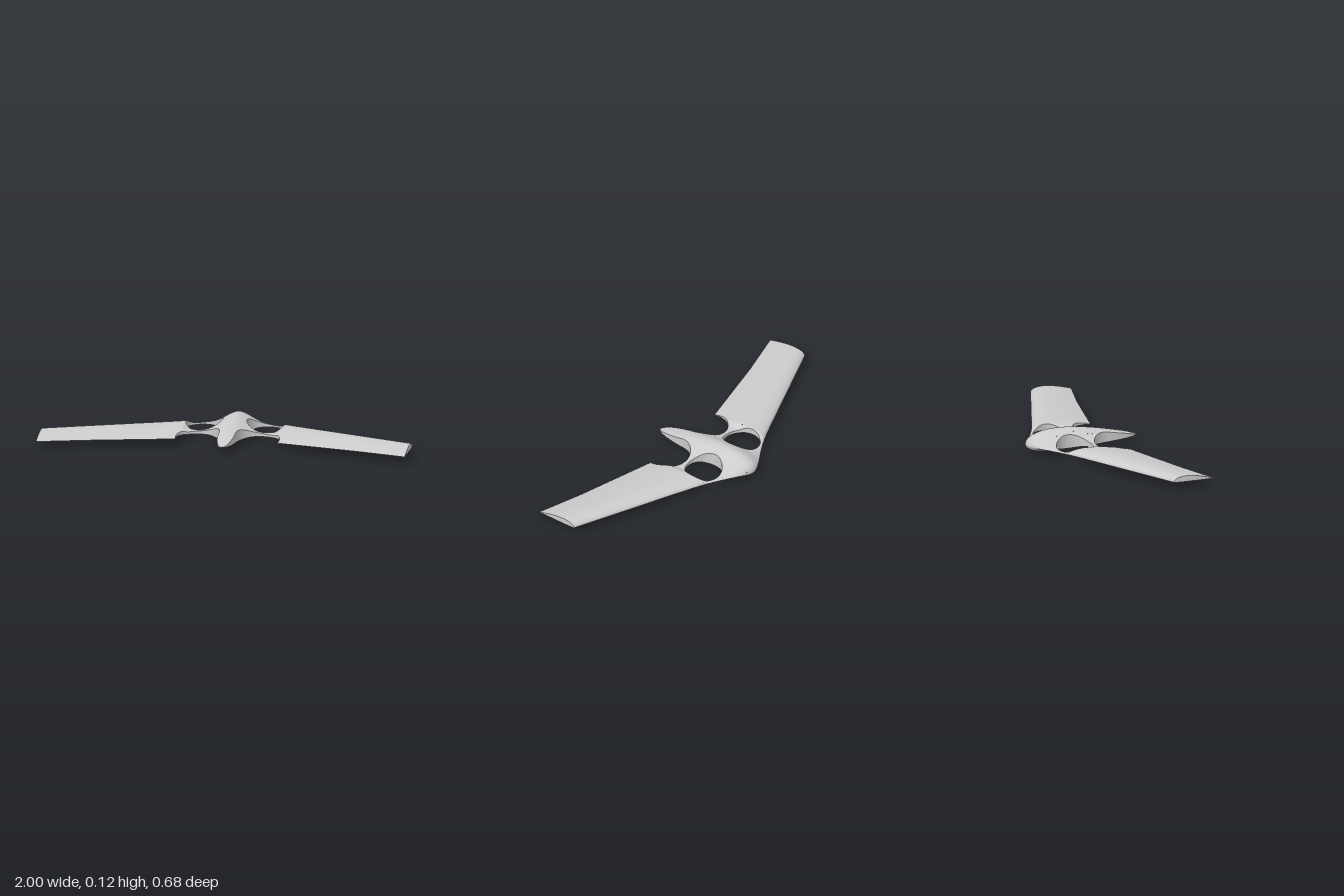
import * as THREE from 'three';
import { mergeGeometries, mergeVertices, toCreasedNormals } from 'three/addons/utils/BufferGeometryUtils.js';

const { lerp, smoothstep, clamp } = THREE.MathUtils;
const BASE = 0.04;          // height of the chord plane
const ROOT = 0.281;         // where the wings start
const duct = { x: 0.165, z: -0.125, r: 0.1 };     // closed round opening
const notch = { x: 0.163, z: 0.115, r: 0.118 };   // round opening cut into the rear edge

// plan outline (nose points to -z)
const leading = x => -0.307 + 0.407 * Math.hypot(x, 0.03) - 0.045 * Math.exp(-((x / 0.17) ** 2));
const trailing = x => x < 0.73 ? lerp(0.148, 0.258, (x - 0.277) / 0.453) : lerp(0.258, 0.336, (x - 0.73) / 0.27);
const tail = x => 0.115 + 0.18 * Math.sqrt(Math.max(0, 1 - (x / 0.045) ** 2.2));
const arc = (c, side) => x => c.z + side * Math.sqrt(Math.max(0, c.r ** 2 - (x - c.x) ** 2));
const chordEnd = x => x > 0.277 ? trailing(x) : lerp(0.3, 0.148, smoothstep(x, 0.03, 0.277));

// airfoil thickness, peak 1
const foil = t => Math.max(0, 10 * (0.2969 * Math.sqrt(t) - 0.126 * t - 0.3516 * t ** 2 + 0.2843 * t ** 3 - 0.1036 * t ** 4));

// upper and lower surface heights: a bell-shaped body, a thin bridge, then the wing
function heights(x, z) {
  const t = clamp((z - leading(x)) / (chordEnd(x) - leading(x)), 0, 1);
  const s = smoothstep(x, 0.225, 0.275);
  const up = lerp(0.012 + 0.068 * Math.exp(-((x / 0.096) ** 2)), 0.036 - 0.006 * x, s);
  const down = lerp(0.006 + 0.034 * Math.exp(-((x / 0.07) ** 2)), 0.002, s);
  return [BASE + up * foil(t), BASE - down * 1.12 * foil(t) * (1 - 0.35 * t)];
}

// cosine spacing, denser at both ends
const spaced = (a, b, n) => Array.from({ length: n + 1 }, (_, i) => lerp(a, b, (1 - Math.cos(Math.PI * i / n)) / 2));

// closed skin between two plan curves over a range of x
function strip(x0, x1, n, front, rear, m, side, cap = false) {
  const pos = [], idx = [], loop = 2 * (m + 1);
  for (const x of spaced(x0, x1, n)) {
    const zs = spaced(front(x), Math.max(front(x), rear(x)), m);
    for (const z of zs) pos.push(side * x, heights(x, z)[0], z);
    for (const z of zs.reverse()) pos.push(side * x, heights(x, z)[1], z);
  }
  const tri = (a, b, c) => side > 0 ? idx.push(a, b, c) : idx.push(a, c, b);
  for (let i = 0; i < n; i++) for (let j = 0; j < loop; j++) {
    const k = (j + 1) % loop, a = i * loop + j, b = i * loop + k;
    tri(a, b, a + loop);
    tri(b, b + loop, a + loop);
  }
  if (cap) for (let j = 0; j < m; j++) {
    const top = n * loop + j, low = n * loop + loop - 1 - j;
    tri(low, top, low - 1);
    tri(top, top + 1, low - 1);
  }
  const g = new THREE.BufferGeometry();
  g.setAttribute('position', new THREE.Float32BufferAttribute(pos, 3));
  g.setIndex(idx);
  return g;
}

function part(name, strips) {
  const g = mergeVertices(mergeGeometries(strips), 1e-5);
  const mesh = new THREE.Mesh(toCreasedNormals(g, 0.75), new THREE.MeshStandardMaterial({ color: 0xcccccc }));
  mesh.name = name;
  return mesh;
}

export function createModel() {
  const group = new THREE.Group();
  group.name = 'flyingWing';
  const ductIn = duct.x - duct.r, ductOut = duct.x + duct.r;

  // centre body with ducts and rear notches
  const body = [];
  for (const s of [1, -1]) body.push(
    strip(0, 0.045, 20, leading, tail, 64, s),
    strip(0.045, ductIn, 10, leading, arc(notch, -1), 50, s),
    strip(ductIn, ductOut, 40, leading, arc(duct, -1), 28, s),
    strip(ductIn, ductOut, 40, arc(duct, 1), arc(notch, -1), 16, s),
    strip(ductOut, ROOT, 10, leading, arc(notch, -1), 50, s));
  group.add(part('centreBody', body));

  // wings, each with the small rear hook beside the notch
  for (const [name, s] of [['leftWing', 1], ['rightWing', -1]]) group.add(part(name, [
    strip(0.2764, ROOT, 8, arc(notch, 1), trailing, 8, s),
    strip(ROOT, 0.73, 12, leading, trailing, 48, s),
    strip(0.73, 1, 8, leading, trailing, 48, s, true)]));

  return group;
}
